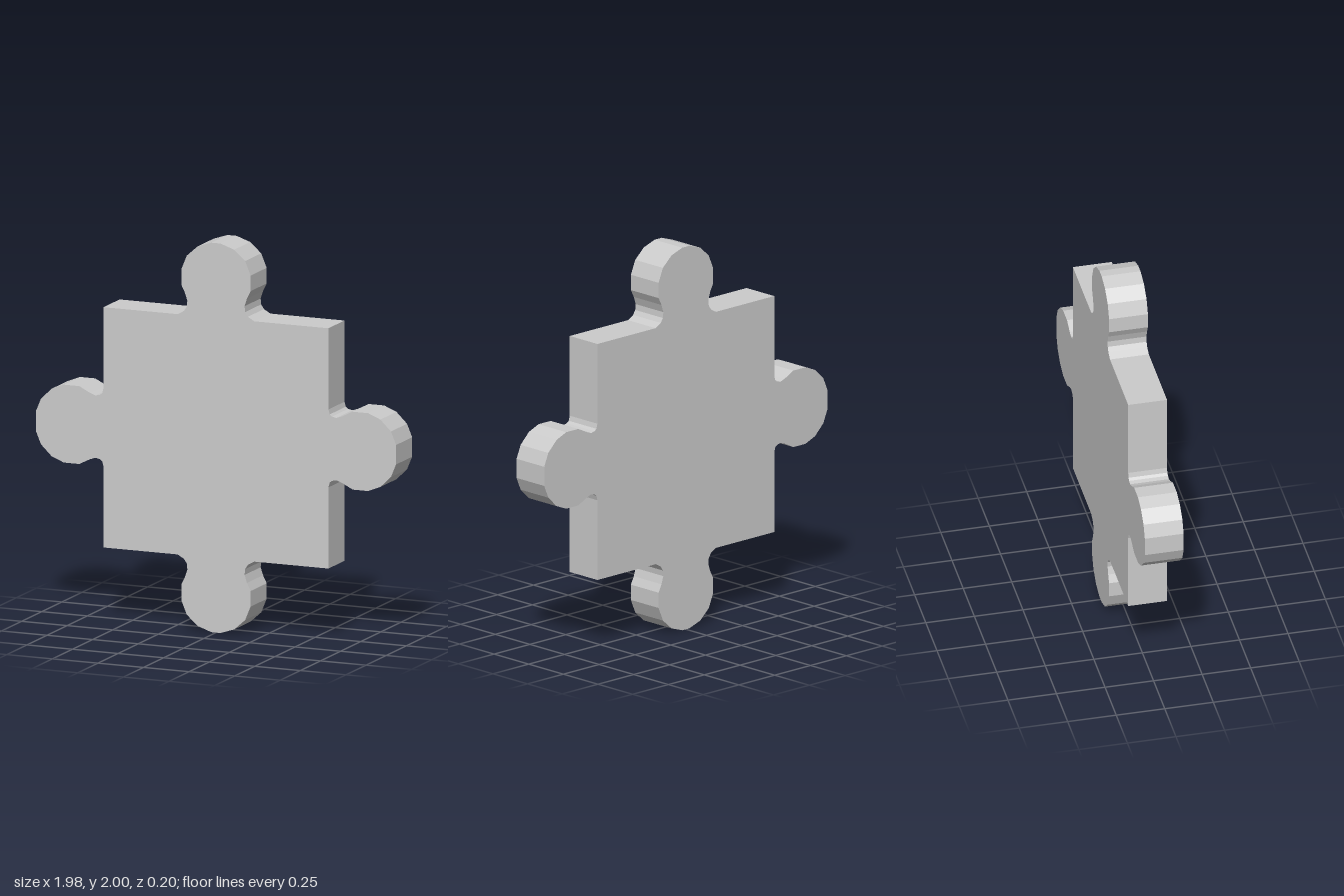
import * as THREE from 'three';

const HALF = 0.617;      // half side of the square body
const THICKNESS = 0.2;

// Half profiles of a knob as [offset along the edge, distance from the centre], neck to tip
const uprightKnob = [
  [0.21, HALF], [0.175, 0.637], [0.16, 0.66], [0.157, 0.69], [0.17, 0.73],
  [0.19, 0.77], [0.19, 0.85], [0.16, 0.922], [0.1, 0.975], [0.025, 1],
];
const sideKnob = [
  [0.2, HALF], [0.175, 0.624], [0.165, 0.637], [0.16, 0.66], [0.17, 0.69],
  [0.2, 0.75], [0.2, 0.835], [0.173, 0.902], [0.117, 0.96], [0.05, 0.988],
];

// One edge, drawn as the right-hand edge from bottom to top: corner, then the mirrored knob
function edgePoints(knob) {
  const lower = knob.map(([s, d]) => new THREE.Vector2(d, -s));
  const upper = knob.map(([s, d]) => new THREE.Vector2(d, s)).reverse();
  return [new THREE.Vector2(HALF, -HALF), ...lower, ...upper];
}

export function createModel() {
  const group = new THREE.Group();
  group.name = 'puzzlePiece';

  // Turn the edge around the centre to make the closed counterclockwise outline
  const outline = [];
  const centre = new THREE.Vector2();
  for (let i = 0; i < 4; i++) {
    const edge = edgePoints(i % 2 ? uprightKnob : sideKnob);
    outline.push(...edge.map((p) => p.rotateAround(centre, i * Math.PI / 2)));
  }

  // Flat plate with a knob on every edge
  const geometry = new THREE.ExtrudeGeometry(new THREE.Shape(outline), {
    depth: THICKNESS, bevelEnabled: false,
  });
  geometry.translate(0, 1, -THICKNESS / 2);
  const material = new THREE.MeshStandardMaterial({ color: 0xcccccc, flatShading: true });
  const plate = new THREE.Mesh(geometry, material);
  plate.name = 'knobbedPlate';
  group.add(plate);
  return group;
}
